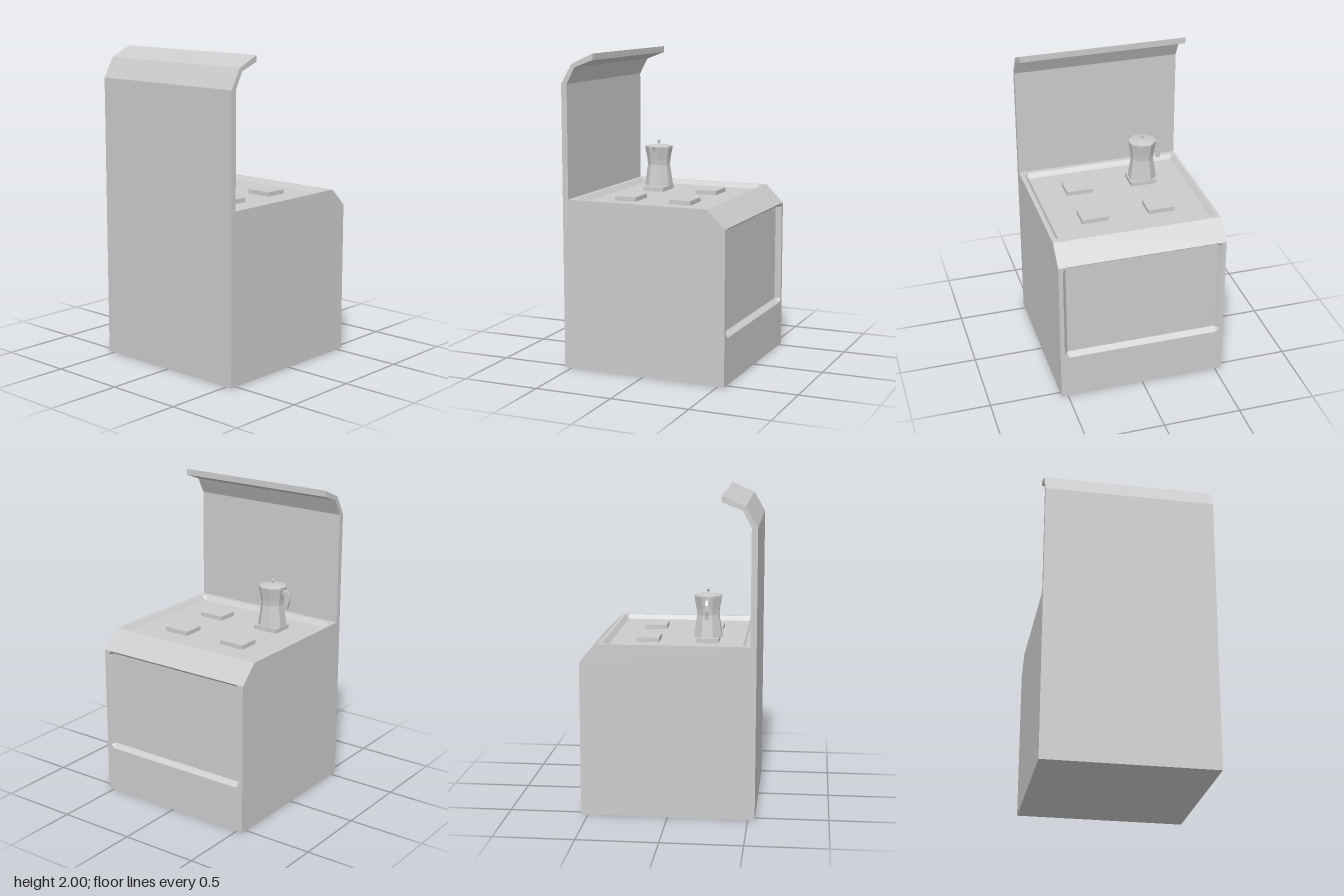
import * as THREE from 'three';

const W = 0.543, BEVEL = 0.025, PLATE = 0.028;
const mat = new THREE.MeshStandardMaterial({ color: 0xcccccc, flatShading: true });
const v2 = (p) => p.map(([x, y]) => new THREE.Vector2(x, y));

function add(parent, name, geometry) {
  const mesh = new THREE.Mesh(geometry, mat);
  mesh.name = name;
  parent.add(mesh);
  return mesh;
}

// Quads between two equally long closed loops of points, some sides left out
function strip(a, b, skip = []) {
  const pos = [];
  a.forEach((p, i) => {
    if (skip.includes(i)) return;
    const j = (i + 1) % a.length;
    pos.push(...p, ...a[j], ...b[j], ...p, ...b[j], ...b[i]);
  });
  const g = new THREE.BufferGeometry();
  g.setAttribute('position', new THREE.Float32BufferAttribute(pos, 3));
  g.computeVertexNormals();
  return g;
}

// Flat panel facing +z with a bevelled rectangular recess
function recessedPanel(name, [u0, u1, v0, v1], [a0, a1, b0, b1], depth) {
  const group = new THREE.Group();
  group.name = name;
  const B = BEVEL;
  const rim = [[a0 + B, b0], [a1 - B, b0], [a1, b0 + B], [a1, b1 - B],
    [a1 - B, b1], [a0 + B, b1], [a0, b1 - B], [a0, b0 + B]];
  const inner = [[a0 + B, b0 + B], [a1 - B, b0 + B], [a1 - B, b1 - B], [a0 + B, b1 - B]];
  const floorRing = [0, 1, 1, 2, 2, 3, 3, 0].map((i) => inner[i]);

  const face = new THREE.Shape(v2([[u0, v0], [u1, v0], [u1, v1], [u0, v1]]));
  face.holes.push(new THREE.Path(v2(rim)));
  add(group, name + 'Frame', new THREE.ShapeGeometry(face));
  add(group, name + 'Bevel', strip(rim.map((p) => [...p, 0]), floorRing.map((p) => [...p, -depth])));
  add(group, name + 'Floor', new THREE.ShapeGeometry(new THREE.Shape(v2(inner)))).position.z = -depth;
  return group;
}

function createBody() {
  const body = new THREE.Group();
  body.name = 'body';
  // End outline: cabinet, worktop, back wall and bent hood
  const profile = [[-W, 0], [W, 0], [W, 0.975], [0.425, 1.09], [-0.505, 1.09], [-0.505, 1.81],
    [-0.45, 1.913], [-0.325, 1.96], [-0.325, 2], [-0.47, 1.935], [-W, 1.81]];
  add(body, 'frontEnd', new THREE.ShapeGeometry(new THREE.Shape(v2(profile)))).position.z = W;
  const backEnd = add(body, 'backEnd', new THREE.ShapeGeometry(
    new THREE.Shape(v2(profile.map(([x, y]) => [-x, y])))));
  backEnd.rotation.y = Math.PI;
  backEnd.position.z = -W;
  // Skin between the ends, leaving the oven door and worktop open
  add(body, 'shell', strip(profile.map((p) => [...p, -W]), profile.map((p) => [...p, W]), [1, 3]));

  const top = recessedPanel('worktop', [-0.505, 0.425, -W, W], [-0.475, 0.405, -0.515, 0.525], PLATE);
  top.rotation.x = -Math.PI / 2;
  top.position.y = 1.09;
  const door = recessedPanel('ovenDoor', [-W, W, 0, 0.975], [-0.515, 0.52, 0.298, 0.974], 0.035);
  door.rotation.y = Math.PI / 2;
  door.position.x = W;
  body.add(top, door);
  return body;
}

function createPot() {
  const pot = new THREE.Group();
  pot.name = 'coffeePot';
  const lathe = (pts, sides) => new THREE.LatheGeometry(v2(pts), sides, Math.PI / sides);
  const k = 1 / Math.cos(Math.PI / 8);

  // Eight-sided waisted vessel and its lid
  add(pot, 'vessel', lathe([[0, 0], [0.087, 0], [0.068, 0.14], [0.071, 0.175], [0.085, 0.255], [0, 0.255]]
    .map(([r, y]) => [r * k, y]), 8));
  add(pot, 'lid', lathe([[0.084, 0.255], [0.084, 0.262], [0, 0.275]].map(([r, y]) => [r * k, y]), 8));
  add(pot, 'knob', lathe([[0.005, 0.27], [0.005, 0.284], [0.01, 0.29], [0.01, 0.3], [0.006, 0.306], [0, 0.306]], 8));

  // Pointed spout: a triangular mouth narrowing down to the vessel wall
  const lip = [[-0.012, 0.262, 0.08], [0, 0.262, 0.11], [0.012, 0.262, 0.08]];
  const root = [0, 0.22, 0.077];
  const spout = new THREE.BufferGeometry();
  spout.setAttribute('position', new THREE.Float32BufferAttribute(
    [...lip[0], ...root, ...lip[1], ...lip[1], ...root, ...lip[2], ...lip[0], ...lip[1], ...lip[2]], 3));
  spout.computeVertexNormals();
  add(pot, 'spout', spout);

  // Hooked handle at the back, with finger ridges on its inner edge
  const hook = new THREE.Shape(v2([[0.07, 0.218], [0.088, 0.216], [0.098, 0.205], [0.105, 0.2],
    [0.101, 0.188], [0.108, 0.178], [0.102, 0.166], [0.106, 0.154], [0.098, 0.142], [0.099, 0.122],
    [0.117, 0.122], [0.122, 0.145], [0.132, 0.175], [0.132, 0.21], [0.115, 0.24], [0.07, 0.245]]));
  const handle = new THREE.ExtrudeGeometry(hook, { depth: 0.02, bevelEnabled: false });
  handle.translate(0, 0, -0.01).rotateY(Math.PI / 2);
  add(pot, 'handle', handle);
  pot.position.set(-0.225, 1.095, -0.227);
  return pot;
}

export function createModel() {
  const model = new THREE.Group();
  model.name = 'stove';
  model.add(createBody());
  // Four square hotplates
  for (const x of [-0.225, 0.148]) {
    for (const z of [-0.22, 0.216]) {
      add(model, 'hotplate', new THREE.BoxGeometry(0.142, PLATE, 0.173)).position.set(x, 1.09 - PLATE / 2, z);
    }
  }
  model.add(createPot());
  return model;
}
